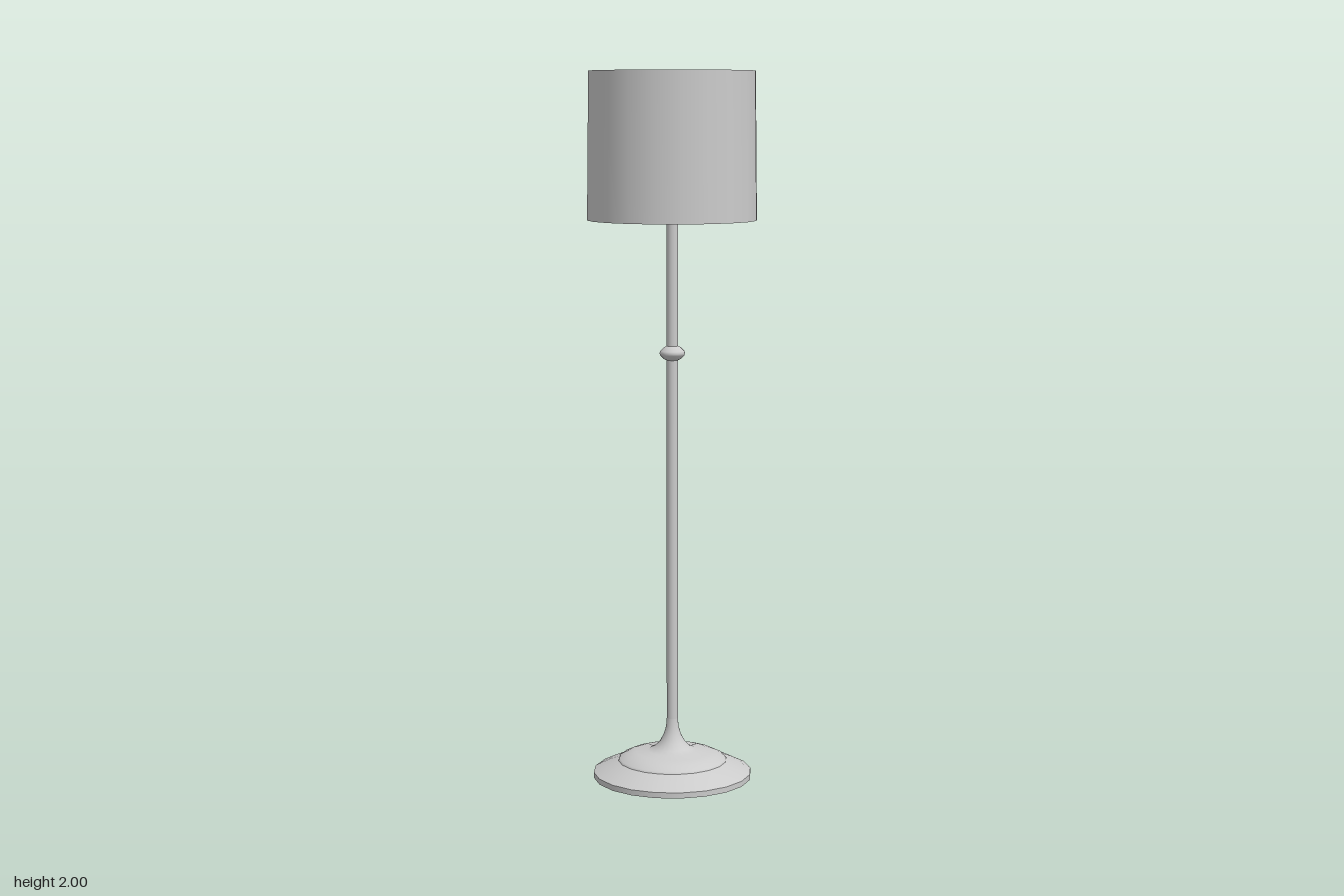
import * as THREE from 'three';

const SIDES = 20;
const material = new THREE.MeshStandardMaterial({ color: 0xcccccc, side: THREE.DoubleSide });

// Open sheet of revolution; each profile is smooth, creases fall between profiles
function turned(name, profile) {
  const points = profile.map(([r, y]) => new THREE.Vector2(r, y));
  const mesh = new THREE.Mesh(new THREE.LatheGeometry(points, SIDES), material);
  mesh.name = name;
  return mesh;
}

export function createModel() {
  const lamp = new THREE.Group();
  lamp.name = 'floorLamp';

  // Hollow stepped foot
  const base = new THREE.Group();
  base.name = 'base';
  base.add(
    turned('baseRim', [[0.226, 0], [0.226, 0.016]]),
    turned('baseSkirt', [[0.226, 0.016], [0.19, 0.034], [0.155, 0.048]]),
    turned('baseStep', [[0.155, 0.048], [0.152, 0.054], [0.13, 0.065], [0.105, 0.073], [0.07, 0.077],
      [0.052, 0.085], [0.036, 0.101], [0.025, 0.122], [0.018, 0.145], [0.016, 0.17]]),
  );

  // Hollow pole with its decorative collar
  const pole = new THREE.Group();
  pole.name = 'pole';
  pole.add(
    turned('lowerPole', [[0.016, 0.17], [0.016, 1.199]]),
    turned('collar', [[0.016, 1.199], [0.024, 1.203], [0.034, 1.213], [0.036, 1.219],
      [0.034, 1.225], [0.024, 1.235], [0.016, 1.239]]),
    turned('upperPole', [[0.016, 1.239], [0.016, 1.8]]),
  );

  // Open drum shade, slightly narrower at the top
  const shade = turned('shade', [[0.237, 1.59], [0.232, 2]]);

  lamp.add(base, pole, shade);
  return lamp;
}
